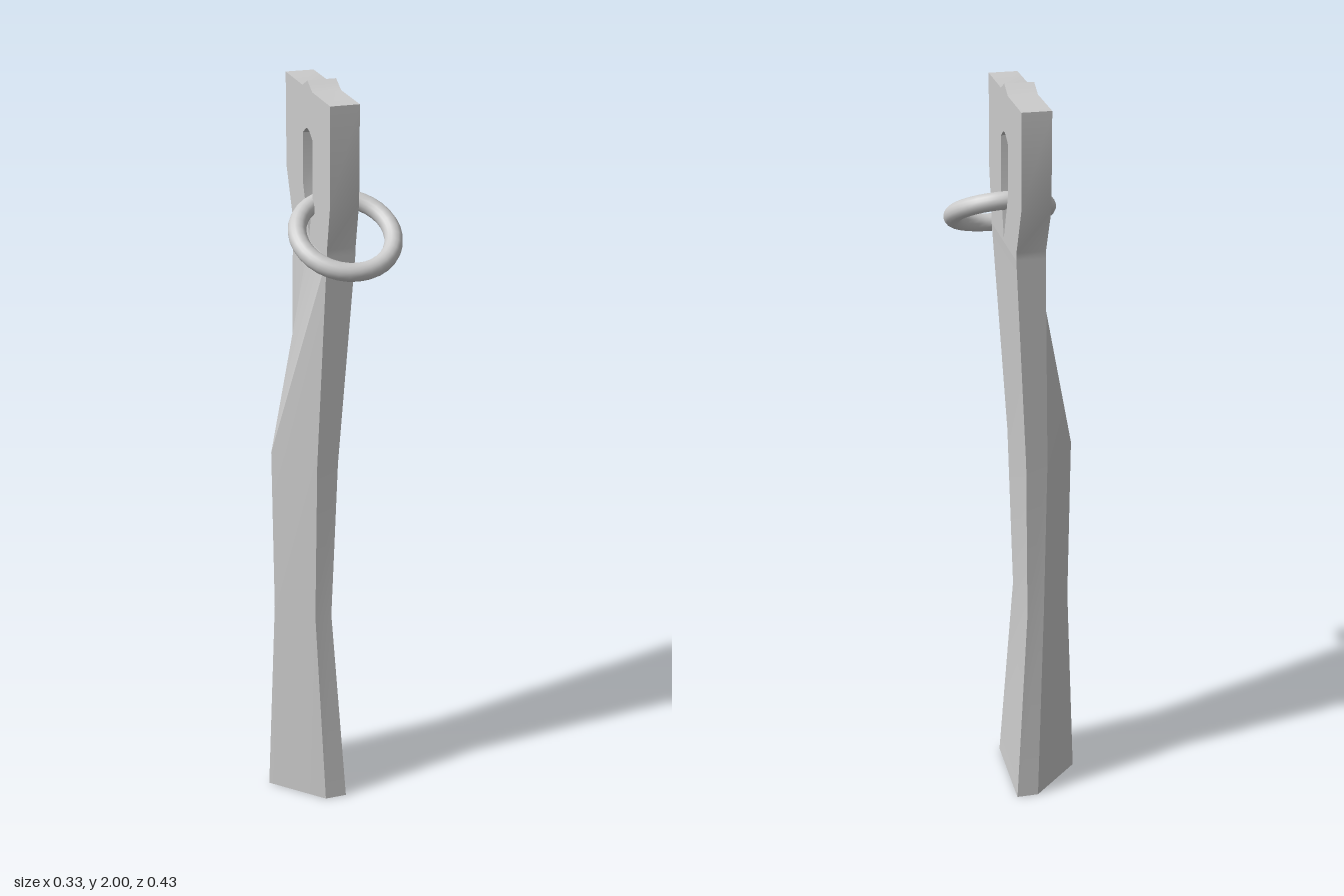
import * as THREE from 'three';
import { toCreasedNormals } from 'three/addons/utils/BufferGeometryUtils.js';

const X_OUT = 0.033, X_IN = -0.04, Z_MID = -0.02, JOIN = 1.6;

// Lofts five-sided sections: flat face, two short sides and a ridge.
function loftGeometry(levels) {
  const pos = [], index = [];
  for (const [y, xOut, xIn, xRidge, zFront, zBack] of levels) {
    pos.push(xOut, y, zFront, xOut, y, zBack, xIn, y, zBack, xRidge, y, Z_MID, xIn, y, zFront);
  }
  for (let l = 0; l < levels.length - 1; l++) {
    for (let j = 0; j < 5; j++) {
      const a = l * 5 + j, b = l * 5 + (j + 1) % 5;
      index.push(a, b, b + 5, a, b + 5, a + 5);
    }
  }
  for (let j = 1; j < 4; j++) index.push(0, j + 1, j); // bottom cap
  const g = new THREE.BufferGeometry();
  g.setAttribute('position', new THREE.Float32BufferAttribute(pos, 3));
  g.setIndex(index);
  return toCreasedNormals(g, 0.4);
}

const outline = (points) => points.map(([z, y]) => new THREE.Vector2(z, y));

export function createModel() {
  const group = new THREE.Group();
  const material = new THREE.MeshStandardMaterial({ color: 0xcccccc });
  const add = (name, geometry) => {
    const mesh = new THREE.Mesh(geometry, material);
    mesh.name = name;
    group.add(mesh);
    return mesh;
  };

  // Ridged shaft: y, outer x, inner x, ridge x, front z, back z
  add('shaft', loftGeometry([
    [0, 0.024, -0.035, -0.165, 0.102, -0.138],
    [0.57, -0.01, -0.055, -0.142, 0.072, -0.108],
    [1.03, 0.0, -0.056, -0.146, 0.095, -0.131],
    [JOIN, X_OUT, X_IN, X_IN, 0.126, -0.162],
  ]));

  // Flat head with a small peak on top and a pointed slot
  const head = new THREE.Shape(outline([
    [0.126, JOIN], [0.127, 1.62], [0.152, 1.74], [0.152, 1.98], [0.01, 1.98], [-0.016, 1.993], [-0.03, 2],
    [-0.044, 1.993], [-0.07, 1.98], [-0.215, 1.98], [-0.215, 1.74], [-0.163, 1.62], [-0.162, JOIN],
  ]));
  head.holes.push(new THREE.Path(outline([
    [Z_MID, 1.61], [0.01, 1.72], [0.01, 1.862], [-0.016, 1.879], [-0.03, 1.882],
    [-0.044, 1.879], [-0.07, 1.862], [-0.07, 1.735],
  ])));
  const headGeometry = new THREE.ExtrudeGeometry(head, { depth: X_OUT - X_IN, bevelEnabled: false });
  headGeometry.rotateY(-Math.PI / 2);
  add('head', toCreasedNormals(headGeometry, 0.5)).position.x = X_OUT;

  // Tilted ring through the slot
  const ring = add('ring', new THREE.TorusGeometry(0.12, 0.023, 16, 32));
  ring.rotation.x = -THREE.MathUtils.degToRad(58.5);
  ring.position.set(0.02, 1.642, 0.088);

  return group;
}
